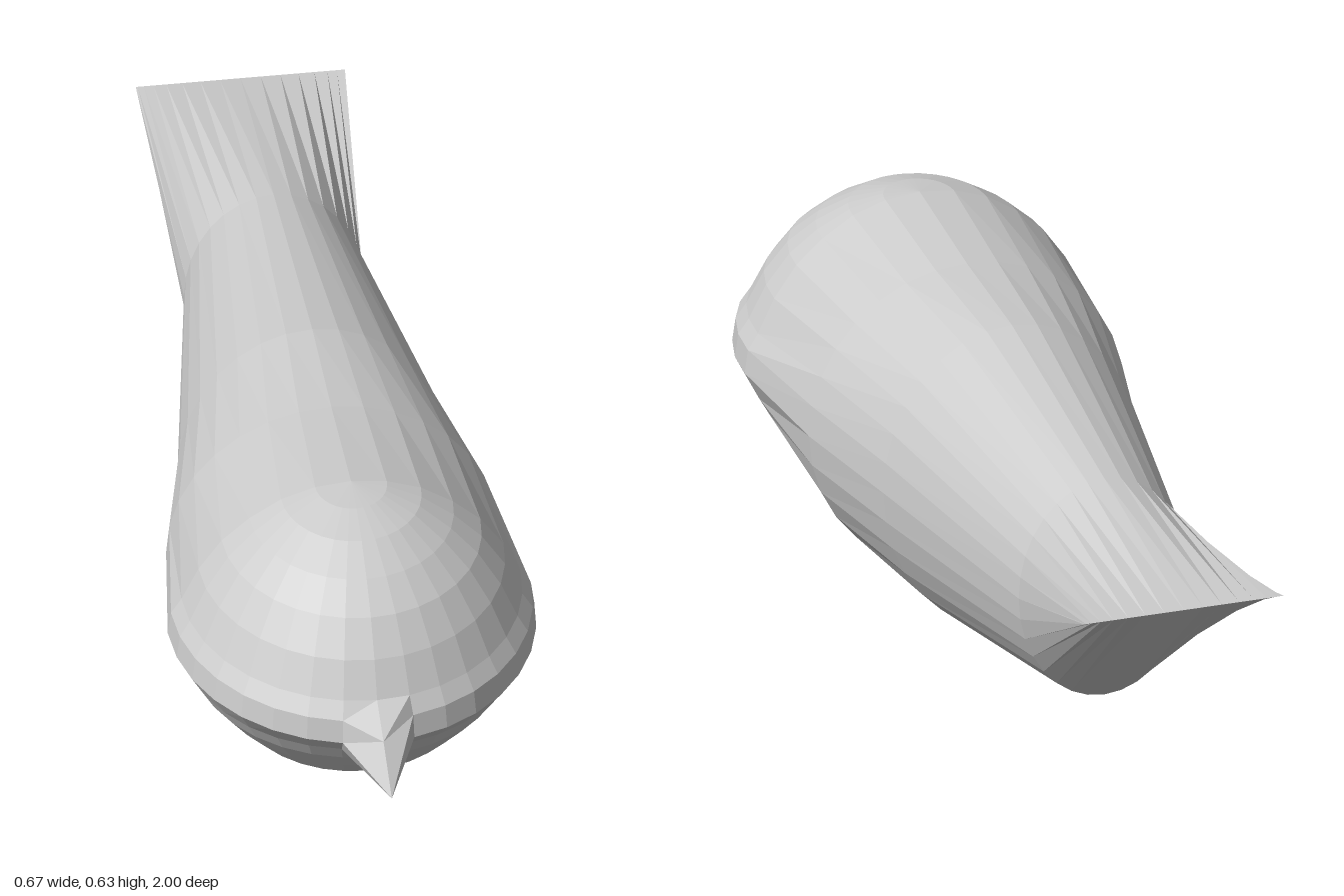
import * as THREE from 'three';

const HALF = 16; // rows from top to bottom, and columns across the face
const HEAD_Z = 0.46;

// Head rows from crown to throat: [height, half width]
const headRows = [
  [0.635, 0], [0.628, 0.065], [0.607, 0.127], [0.57, 0.185], [0.525, 0.235], [0.465, 0.277],
  [0.40, 0.308], [0.37, 0.327], [0.325, 0.333], [0.27, 0.305], [0.235, 0.285], [0.19, 0.25],
  [0.142, 0.207], [0.107, 0.16], [0.09, 0.115], [0.082, 0.06], [0.08, 0],
];

// Body sections behind the head: [z, half width, centre height, half height]
const bodySections = [
  [0.2, 0.3, 0.308, 0.298],
  [-0.05, 0.245, 0.296, 0.296],
  [-0.56, 0.163, 0.296, 0.214],
  [-1, 0.19, 0.44, 0], // flat tail edge
];

// Joins rows of points into a faceted skin
function skin(name, rows, flip) {
  const cols = rows[0].length;
  const index = [];
  for (let i = 0; i < rows.length - 1; i++) {
    for (let j = 0; j < cols - 1; j++) {
      const a = i * cols + j, b = a + 1, c = a + cols, d = c + 1;
      if (flip) index.push(a, c, b, b, c, d);
      else index.push(a, b, c, b, d, c);
    }
  }
  const geometry = new THREE.BufferGeometry();
  geometry.setAttribute('position', new THREE.Float32BufferAttribute(rows.flat(2), 3));
  geometry.setIndex(index);
  geometry.computeVertexNormals();
  const material = new THREE.MeshStandardMaterial({
    color: 0xcccccc, flatShading: true, side: THREE.DoubleSide,
  });
  const mesh = new THREE.Mesh(geometry, material);
  mesh.name = name;
  return mesh;
}

// Rounded face, with the middle points drawn forward into a beak
function makeHead() {
  const rows = headRows.map(([y, r], i) => {
    const depth = i <= 8 ? 1.12 : 1.04;
    const row = [];
    for (let c = 0; c <= HALF; c++) {
      const a = (c / HALF - 0.5) * Math.PI;
      row.push([r * Math.sin(a), y, HEAD_Z + r * depth * Math.cos(a)]);
    }
    return row;
  });
  rows[7][HALF / 2][2] = 0.89; // bridge of the beak
  rows[8][HALF / 2][2] = 1;    // tip of the beak
  return skin('headAndBeak', rows, true);
}

// Body lofted from the back of the head to the flat tail
function makeBody() {
  const ring = (point) => Array.from({ length: 2 * HALF + 1 }, (_, j) =>
    j <= HALF ? point(j, 1) : point(2 * HALF - j, -1));
  const rows = [ring((i, side) => [side * headRows[i][1], headRows[i][0], HEAD_Z])];
  for (const [z, w, y, h] of bodySections) {
    rows.push(ring((i, side) => {
      const a = (i / HALF) * Math.PI;
      return [side * w * Math.sin(a), y + h * Math.cos(a), z];
    }));
  }
  return skin('bodyAndTail', rows, false);
}

export function createModel() {
  const group = new THREE.Group();
  group.name = 'bird';
  group.add(makeHead(), makeBody());
  return group;
}
